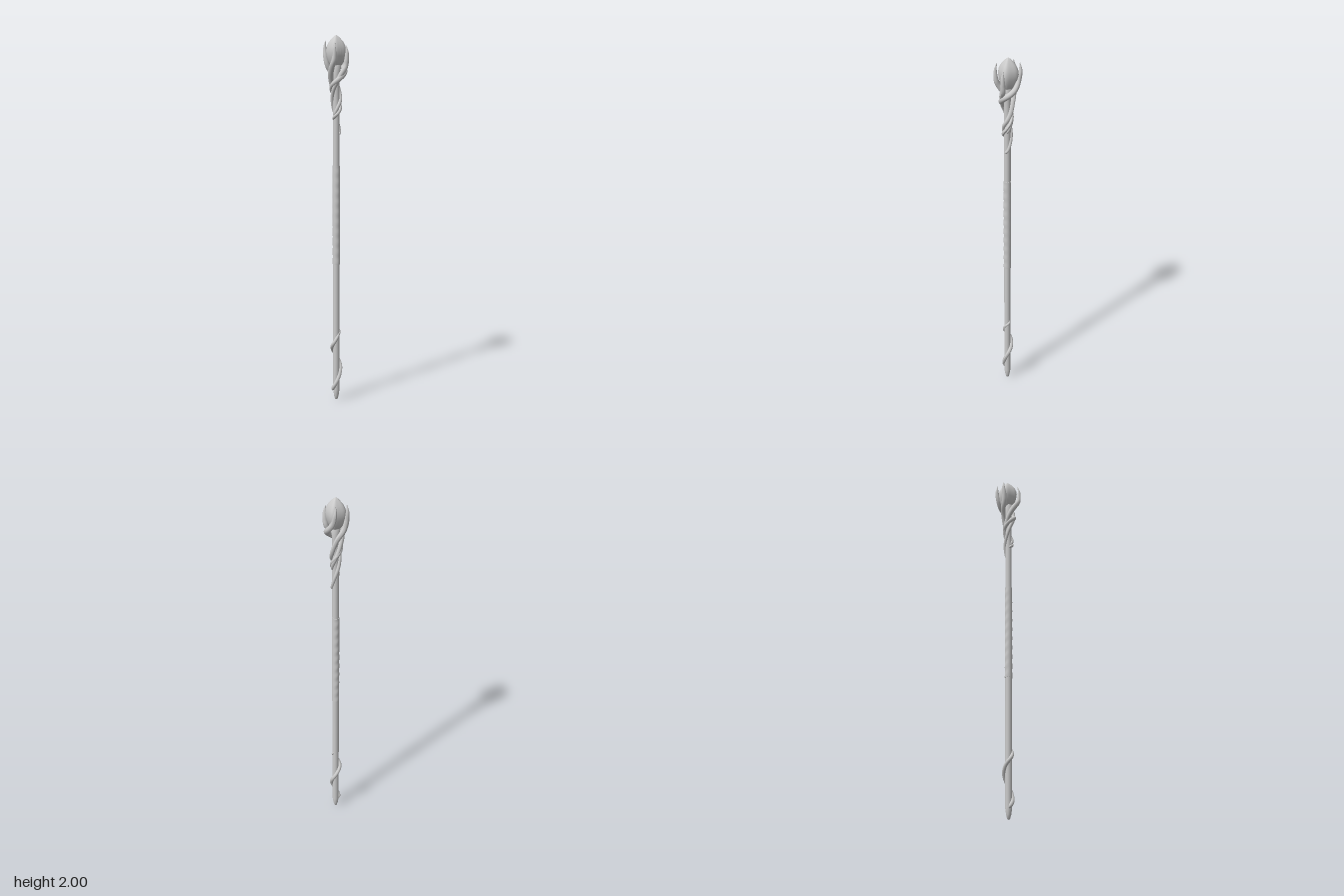
import * as THREE from 'three';

const CX = -0.008, CZ = 0.007; // staff axis
const mat = new THREE.MeshStandardMaterial({ color: 0xcccccc });

function add(group, name, geometry) {
  const mesh = new THREE.Mesh(geometry, mat);
  mesh.name = name;
  group.add(mesh);
  return mesh;
}

function lathe(points, segments) {
  return new THREE.LatheGeometry(points.map(([r, y]) => new THREE.Vector2(r, y)), segments);
}

// Tapered vine from [turn in degrees, distance from axis, height, thickness].
// Turn 0 is -x, 90 is the front, 180 is +x.
function vine(keys) {
  const samples = [];
  const steps = 8;
  const key = (i, k) => keys[Math.min(Math.max(i, 0), keys.length - 1)][k];
  const mix = (i, t, k) => {
    const a = key(i - 1, k), b = key(i, k), c = key(i + 1, k), d = key(i + 2, k);
    return b + 0.5 * t * (c - a + t * (2 * a - 5 * b + 4 * c - d + t * (3 * (b - c) + d - a)));
  };
  for (let i = 0; i < keys.length - 1; i++) {
    for (let s = 0; s < steps; s++) samples.push([0, 1, 2, 3].map((k) => mix(i, s / steps, k)));
  }
  samples.push(keys[keys.length - 1]);
  const curve = new THREE.CatmullRomCurve3(samples.map(([turn, r, y]) => {
    const a = THREE.MathUtils.degToRad(turn);
    return new THREE.Vector3(-r * Math.cos(a), y, r * Math.sin(a));
  }));
  const rings = samples.length * 2, sides = 10;
  const geometry = new THREE.TubeGeometry(curve, rings, 0.01, sides);
  const pos = geometry.attributes.position;
  const p = new THREE.Vector3(), c = new THREE.Vector3();
  for (let i = 0; i <= rings; i++) {
    const u = curve.getUtoTmapping(i / rings) * (samples.length - 1);
    const lo = Math.floor(u), hi = Math.min(lo + 1, samples.length - 1);
    const thick = THREE.MathUtils.lerp(samples[lo][3], samples[hi][3], u - lo);
    curve.getPointAt(i / rings, c);
    for (let j = 0; j <= sides; j++) {
      const n = i * (sides + 1) + j;
      p.fromBufferAttribute(pos, n).sub(c).multiplyScalar(thick / 0.01).add(c);
      pos.setXYZ(n, p.x, p.y, p.z);
    }
  }
  geometry.computeVertexNormals();
  return geometry;
}

export function createModel() {
  const staff = new THREE.Group();
  staff.name = 'staff';
  const body = new THREE.Group();
  body.name = 'staffBody';
  body.position.set(CX, 0, CZ);
  staff.add(body);

  // Shaft with a blunt pointed foot
  add(body, 'shaft', lathe([[0, 0], [0.007, 0.004], [0.013, 0.025], [0.018, 0.06],
    [0.018, 0.4], [0.018, 1.6], [0.018, 1.78], [0.026, 1.84], [0, 1.86]], 16));

  // Grip wrap, gently uneven front and back
  const grip = new THREE.CylinderGeometry(0.0195, 0.0195, 0.54, 20, 60);
  const gp = grip.attributes.position;
  for (let i = 0; i < gp.count; i++) {
    gp.setZ(i, gp.getZ(i) * (1.03 + 0.05 * Math.sin(gp.getY(i) * 115 + gp.getX(i) * 40)));
  }
  grip.computeVertexNormals();
  add(body, 'grip', grip).position.y = 1.04;

  // Vine winding around the foot
  add(body, 'footVine', vine([
    [-30, 0.018, 0.055, 0.001], [0, 0.021, 0.07, 0.010], [90, 0.020, 0.13, 0.010],
    [180, 0.024, 0.205, 0.0105], [270, 0.023, 0.27, 0.010], [360, 0.023, 0.32, 0.010],
    [450, 0.015, 0.37, 0.008], [540, 0.017, 0.40, 0.006], [570, 0.015, 0.42, 0.001]]));

  // Four vines twisting up the head and opening into claws
  const vines = {
    backRightVine: [[-385, 0.015, 1.555, 0.001], [-350, 0.019, 1.567, 0.008], [-270, 0.021, 1.595, 0.009],
      [-180, 0.021, 1.64, 0.009], [-90, 0.024, 1.69, 0.010], [0, 0.027, 1.735, 0.012],
      [90, 0.033, 1.775, 0.014], [180, 0.049, 1.825, 0.015], [225, 0.057, 1.875, 0.013],
      [238, 0.066, 1.93, 0.010], [240, 0.063, 1.975, 0.001]],
    frontRightVine: [[-245, 0.015, 1.475, 0.001], [-230, 0.018, 1.485, 0.007], [-180, 0.018, 1.51, 0.008],
      [-90, 0.020, 1.60, 0.009], [0, 0.022, 1.70, 0.010], [85, 0.029, 1.775, 0.013],
      [125, 0.049, 1.83, 0.014], [130, 0.056, 1.87, 0.013], [130, 0.058, 1.91, 0.009],
      [130, 0.053, 1.945, 0.001]],
    backLeftVine: [[-345, 0.015, 1.575, 0.001], [-325, 0.018, 1.59, 0.008], [-270, 0.020, 1.63, 0.009],
      [-180, 0.022, 1.69, 0.011], [-110, 0.029, 1.77, 0.012], [-65, 0.049, 1.83, 0.014],
      [-55, 0.060, 1.88, 0.013], [-57, 0.066, 1.93, 0.009], [-57, 0.062, 1.97, 0.001]],
    frontLeftVine: [[-210, 0.015, 1.59, 0.001], [-190, 0.018, 1.61, 0.008], [-130, 0.021, 1.66, 0.010],
      [-50, 0.024, 1.735, 0.012], [10, 0.040, 1.81, 0.015], [38, 0.056, 1.855, 0.014],
      [46, 0.061, 1.89, 0.011], [47, 0.062, 1.93, 0.007], [47, 0.054, 1.965, 0.001]],
  };
  for (const [name, keys] of Object.entries(vines)) add(body, name, vine(keys));

  // Crystal: rounded-square section drawn to a point
  const crystal = lathe([[0, 1.825], [0.02, 1.835], [0.034, 1.86], [0.042, 1.89], [0.0445, 1.915],
    [0.041, 1.94], [0.031, 1.964], [0.016, 1.985], [0.006, 1.995], [0, 2]], 32);
  const cp = crystal.attributes.position;
  for (let i = 0; i < cp.count; i++) {
    const x = cp.getX(i), z = cp.getZ(i), r = Math.hypot(x, z);
    if (r < 1e-6) continue;
    const k = 1 / Math.pow(Math.pow(Math.abs(x / r), 5) + Math.pow(Math.abs(z / r), 5), 0.2);
    cp.setXYZ(i, x * k, cp.getY(i), z * k);
  }
  crystal.computeVertexNormals();
  add(body, 'crystal', crystal).position.set(0.002, 0, -0.005);

  return staff;
}
